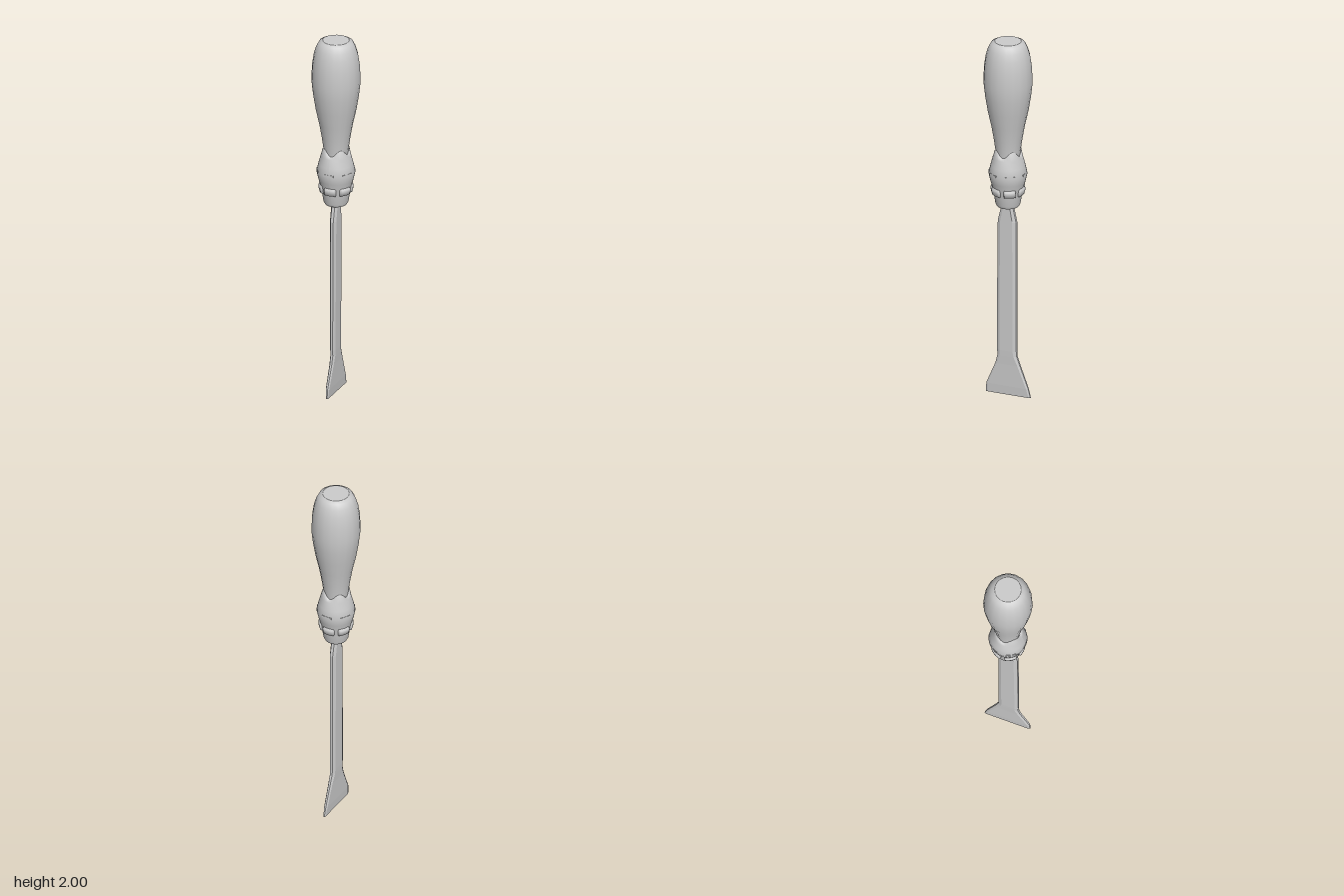
import * as THREE from 'three';

const smooth = new THREE.MeshStandardMaterial({ color: 0xcccccc, side: THREE.DoubleSide });
const flat = new THREE.MeshStandardMaterial({ color: 0xcccccc, flatShading: true, side: THREE.DoubleSide });

function lathe(profile, segments) {
  return new THREE.LatheGeometry(profile.map(([r, y]) => new THREE.Vector2(r, y)), segments);
}

// Pass every vertex through rule(angle, radius, y) -> [radius, y]
function reshape(geometry, rule) {
  const p = geometry.attributes.position;
  for (let i = 0; i < p.count; i++) {
    const a = Math.atan2(p.getX(i), p.getZ(i));
    const [r, y] = rule(a, Math.hypot(p.getX(i), p.getZ(i)), p.getY(i));
    p.setXYZ(i, r * Math.sin(a), y, r * Math.cos(a));
  }
  geometry.computeVertexNormals();
  return geometry;
}

// Bevelled blade lofted through rows of [y, front z, back z, half thickness, bevel]
function bladeGeometry(rows) {
  const points = [];
  const index = [];
  const n = 8;
  for (const [y, f, b, t, c] of rows) {
    const e = t * 0.45;
    const ring = [[e, f], [t, f - c], [t, b + c], [e, b], [-e, b], [-t, b + c], [-t, f - c], [-e, f]];
    for (const [x, z] of ring) points.push(x, y, z);
  }
  for (let j = 0; j < rows.length - 1; j++) {
    for (let i = 0; i < n; i++) {
      const a = j * n + i, b = j * n + (i + 1) % n;
      index.push(a, b, b + n, a, b + n, a + n);
    }
  }
  const last = (rows.length - 1) * n;
  for (let i = 1; i < n - 1; i++) {
    index.push(0, i + 1, i, last, last + i, last + i + 1);
  }
  const g = new THREE.BufferGeometry();
  g.setAttribute('position', new THREE.Float32BufferAttribute(points, 3));
  g.setIndex(index);
  g.computeVertexNormals();
  return g;
}

export function createModel() {
  const model = new THREE.Group();
  const add = (name, geometry, material = smooth) => {
    const mesh = new THREE.Mesh(geometry, material);
    mesh.name = name;
    model.add(mesh);
    return mesh;
  };

  // Swelling grip with a flat end
  add('handle', lathe([
    [0.06, 1.3], [0.066, 1.38], [0.076, 1.45], [0.09, 1.53], [0.108, 1.61], [0.121, 1.69],
    [0.13, 1.77], [0.126, 1.86], [0.117, 1.92], [0.105, 1.96], [0.09, 1.99], [0.07, 2]
  ], 20));
  const cap = add('handleEnd', new THREE.CircleGeometry(0.07, 20));
  cap.rotation.x = -Math.PI / 2;
  cap.position.y = 2;

  // Collar with a scalloped upper rim
  add('collar', reshape(lathe([
    [0.058, 1.07], [0.066, 1.085], [0.073, 1.13], [0.083, 1.18], [0.092, 1.21],
    [0.102, 1.255], [0.092, 1.3], [0.08, 1.345], [0.071, 1.375], [0.06, 1.375]
  ], 40), (a, r, y) => [r, y > 1.36 ? y - 0.018 * Math.cos(4 * a) : y]));
  const base = add('collarBase', new THREE.CircleGeometry(0.058, 40));
  base.rotation.x = Math.PI / 2;
  base.position.y = 1.07;

  // Raised band broken into pads
  add('gripBand', reshape(lathe([
    [0.07, 1.135], [0.086, 1.142], [0.091, 1.16], [0.092, 1.175], [0.078, 1.187]
  ], 72), (a, r, y) => [Math.cos(6 * a) < -0.8 ? r - 0.016 : r, y]));

  // Short ridges round the widest part of the collar
  for (let i = 0; i < 6; i++) {
    const a = i * Math.PI / 3;
    const ridge = add('collarRidge', new THREE.BoxGeometry(0.055, 0.01, 0.012), flat);
    ridge.position.set(0.094 * Math.sin(a), 1.262, 0.094 * Math.cos(a));
    ridge.rotation.y = a;
  }

  // Flat shaft flaring into the scraper tip
  add('blade', bladeGeometry([
    [0, 0.125, -0.13, 0.007, 0.01],
    [0.05, 0.122, -0.117, 0.01, 0.01],
    [0.17, 0.07, -0.071, 0.012, 0.012],
    [0.22, 0.057, -0.053, 0.014, 0.016],
    [0.25, 0.06, -0.05, 0.015, 0.018],
    [0.7, 0.058, -0.05, 0.017, 0.018],
    [0.98, 0.055, -0.05, 0.018, 0.018],
    [1.07, 0.033, -0.03, 0.018, 0.014],
    [1.1, 0.03, -0.028, 0.018, 0.014]
  ]), flat);

  return model;
}
